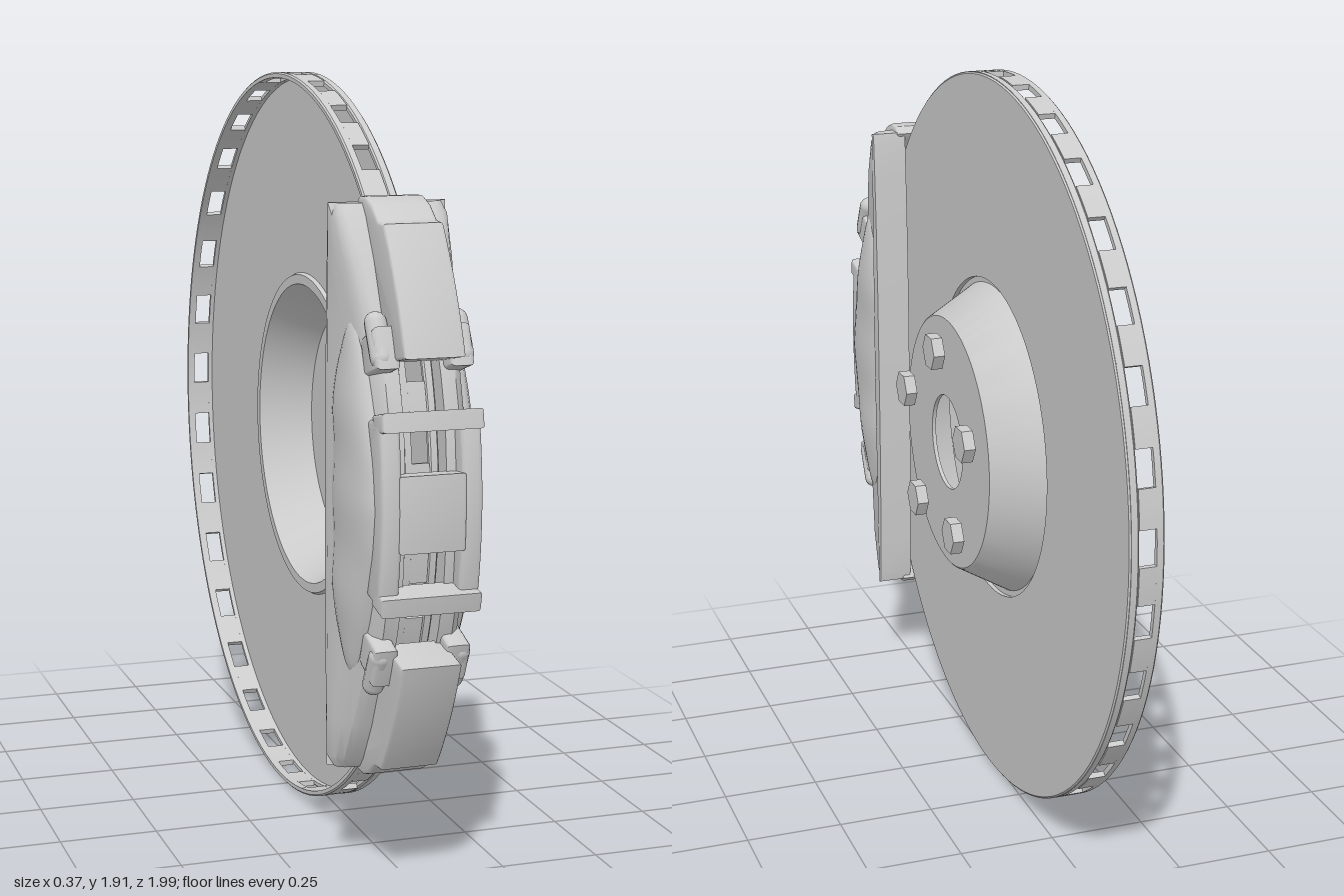
import * as THREE from 'three';
import { toCreasedNormals } from 'three/addons/utils/BufferGeometryUtils.js';

const RAD = Math.PI / 180;
const grey = new THREE.MeshStandardMaterial({ color: 0xcccccc });

function add(parent, name, geometry) {
  const mesh = new THREE.Mesh(geometry, grey);
  mesh.name = name;
  parent.add(mesh);
  return mesh;
}

// Closed profile of [radius, x], turned about the x axis
function turned(profile) {
  const pts = [...profile, profile[0]].map(([r, x]) => new THREE.Vector2(r, x));
  const g = new THREE.LatheGeometry(pts, 128);
  g.rotateZ(-Math.PI / 2);
  return toCreasedNormals(g, 0.5);
}

// Point and arc on the wheel plane as [z, y]; angle 0 points forward
const polar = (r, deg) => [r * Math.cos(deg * RAD), r * Math.sin(deg * RAD)];
function arc(r, a0, a1, n = 8) {
  return Array.from({ length: n + 1 }, (_, i) => polar(r, a0 + (a1 - a0) * i / n));
}

// Side outline of [z, y] points, extruded across x from u0 to u1
function slab(points, u0, u1, bevel = 0) {
  const shape = new THREE.Shape(points.map(([z, y]) => new THREE.Vector2(z, y)));
  const g = new THREE.ExtrudeGeometry(shape, {
    depth: u1 - u0 - 2 * bevel, bevelEnabled: bevel > 0, bevelSize: bevel,
    bevelThickness: bevel, bevelOffset: -bevel, bevelSegments: 3,
  });
  g.translate(0, 0, bevel - u1);
  g.rotateY(-Math.PI / 2);
  return toCreasedNormals(g, 0.6);
}
const arcSlab = (r0, r1, a0, a1, u0, u1, bevel = 0, n = 8) =>
  slab([...arc(r1, a0, a1, n), ...arc(r0, a1, a0, n)], u0, u1, bevel);

// Skin over closed rings of [x, y, z] stacked along y; side -1 mirrors it in x
function loft(rings, side, crease) {
  const n = rings[0].length, index = [], last = (rings.length - 1) * n;
  const tri = (a, b, c) => (side > 0 ? index.push(a, b, c) : index.push(a, c, b));
  for (let i = 0; i < rings.length - 1; i++) {
    for (let j = 0; j < n; j++) {
      const a = i * n + j, b = i * n + (j + 1) % n;
      tri(a, a + n, b);
      tri(b, a + n, b + n);
    }
  }
  for (let j = 1; j < n - 1; j++) {
    tri(0, j, j + 1);
    tri(last, last + j + 1, last + j);
  }
  const g = new THREE.BufferGeometry();
  const pos = rings.flat().flatMap(([x, y, z]) => [x * side, y, z]);
  g.setAttribute('position', new THREE.Float32BufferAttribute(pos, 3));
  g.setIndex(index);
  return toCreasedNormals(g, crease);
}

// Linear lookup in a table of [key, value...] rows
function lookup(table, key) {
  let i = 0;
  while (i < table.length - 2 && key > table[i + 1][0]) i++;
  const [a, b] = [table[i], table[i + 1]];
  const t = (key - a[0]) / (b[0] - a[0]);
  return a.slice(1).map((v, k) => v + (b[k + 1] - v) * t);
}

function buildRotor() {
  const rotor = new THREE.Group();
  rotor.name = 'rotor';
  // Friction plate running into the raised hat
  add(rotor, 'plateAndHat', turned([
    [0.95, 0], [0.955, 0.006], [0.95, 0.012], [0.425, 0.012], [0.425, 0], [0.41, 0], [0.337, 0.127],
    [0.333, 0.13], [0.125, 0.13], [0.125, 0.12], [0.326, 0.12], [0.4, -0.01], [0.425, -0.01], [0.43, 0],
  ]));
  // Rim: two hoops joined by webs, leaving 32 vent slots
  const hoop = (x0, x1) => turned([[0.941, x0], [0.951, x0], [0.955, x0 + 0.004], [0.955, x1], [0.941, x1]]);
  add(rotor, 'backHoop', hoop(-0.075, -0.055));
  add(rotor, 'frontHoop', hoop(-0.012, 0.008));
  const step = 360 / 32;
  for (let i = 0; i < 32; i++) {
    const a = 87.6 + (i + 0.5) * step;
    add(rotor, 'rimWeb', arcSlab(0.941, 0.955, a - 2.9, a + 2.9, -0.055, -0.012, 0, 3));
  }
  // Five hex wheel bolts
  for (let i = 0; i < 5; i++) {
    const [z, y] = polar(0.252, 90 + i * 72);
    const g = new THREE.CylinderGeometry(0.048, 0.048, 0.03, 6).toNonIndexed();
    g.rotateZ(-Math.PI / 2);
    g.computeVertexNormals();
    add(rotor, 'hexBolt', g).position.set(0.165, y, z);
  }
  return rotor;
}

function buildCaliper() {
  const caliper = new THREE.Group();
  caliper.name = 'caliper';
  // Distance from the middle: inner z, outer z, crest height
  const bodyTable = [
    [0, 0.68, 0.985, 0.125], [0.2, 0.68, 0.965, 0.125], [0.3, 0.682, 0.935, 0.125],
    [0.42, 0.685, 0.885, 0.13], [0.55, 0.69, 0.825, 0.138], [0.65, 0.695, 0.765, 0.14], [0.678, 0.7, 0.74, 0.13],
  ];
  const bulgeTable = [
    [0, 0.682, 0.988], [0.1, 0.682, 0.975], [0.2, 0.684, 0.937], [0.3, 0.71, 0.9],
    [0.4, 0.765, 0.85], [0.445, 0.805, 0.82],
  ];
  const spread = (table) => {
    const keys = table.map((row) => row[0]);
    return [...keys.slice(1).reverse().map((k) => -k), ...keys];
  };
  const bodyRings = spread(bodyTable).map((y) => {
    const [zi, zo, h] = lookup(bodyTable, Math.abs(y));
    const w = zo - zi;
    return [[0.05, zi], [0.142, zi], [0.145, zi + 0.1 * w], [h, zi + 0.35 * w], [h - 0.005, zi + 0.7 * w],
      [h - 0.02, zi + 0.92 * w], [h - 0.04, zo], [0.05, zo]].map(([x, z]) => [x, y, z]);
  });
  const bulgeRings = Array.from({ length: 33 }, (_, i) => {
    const y = -0.445 + 0.89 * i / 32, q = Math.abs(y) / 0.445;
    const [zi, zo] = lookup(bulgeTable, Math.abs(y));
    const rise = 0.056 * Math.pow(1 - q ** 4, 0.5) * (0.96 + 0.04 * Math.cos(y * 28));
    return Array.from({ length: 13 }, (_, j) => {
      const a = Math.PI * j / 12;
      return [0.098 + rise * Math.sin(a) ** 0.8, y, (zi + zo) / 2 - (zo - zi) / 2 * Math.cos(a)];
    });
  });
  for (const side of [1, -1]) {
    add(caliper, 'sideBody', loft(bodyRings, side, 0.7));
    add(caliper, 'pistonBulge', loft(bulgeRings, side, 0.8));
    // Rail beside the windows
    const [u0, u1] = side > 0 ? [0.073, 0.122] : [-0.122, -0.073];
    add(caliper, 'windowRail', arcSlab(0.93, 1.025, -12.5, 12.5, u0, u1, 0.01));
    for (const t of [1, -1]) {
      // Rounded boss beside each bridge
      const boss = add(caliper, 'boss', new THREE.CapsuleGeometry(0.026, 0.085, 6, 14));
      boss.position.set(side * 0.098, t * 0.385, 0.925);
      boss.rotation.x = -t * 0.5;
      // Rib tying the boss to the bridge
      const [b0, b1] = side > 0 ? [0.06, 0.118] : [-0.118, -0.06];
      add(caliper, 'bridgeShoulder', arcSlab(0.93, 1.03, t * 18.5, t * 24, b0, b1, 0.012));
    }
  }
  // Centre strap between the two windows
  add(caliper, 'centreStrap', arcSlab(0.97, 1.03, -5, 5, -0.08, 0.08, 0.006));
  for (const t of [1, -1]) {
    // Raised lip closing the window
    add(caliper, 'windowLip', arcSlab(0.975, 1.048, t * 10.5, t * 13, -0.122, 0.122, 0.008));
    // Curved end bridge over the rim
    const outline = [
      ...arc(1.092, 19, 36, 10), [0.845, 0.645], [0.8, 0.678], [0.755, 0.694], [0.715, 0.692],
      [0.693, 0.675], ...arc(0.966, 44, 20, 10),
    ].map(([z, y]) => [z, y * t]);
    add(caliper, 'endBridge', slab(outline, -0.073, 0.073, 0.008));
  }
  caliper.position.x = -0.031;
  return caliper;
}

export function createModel() {
  const model = new THREE.Group();
  model.name = 'discBrake';
  const assembly = new THREE.Group();
  assembly.name = 'assembly';
  assembly.add(buildRotor(), buildCaliper());
  assembly.position.set(0, 0.955, -0.045);
  model.add(assembly);
  return model;
}
